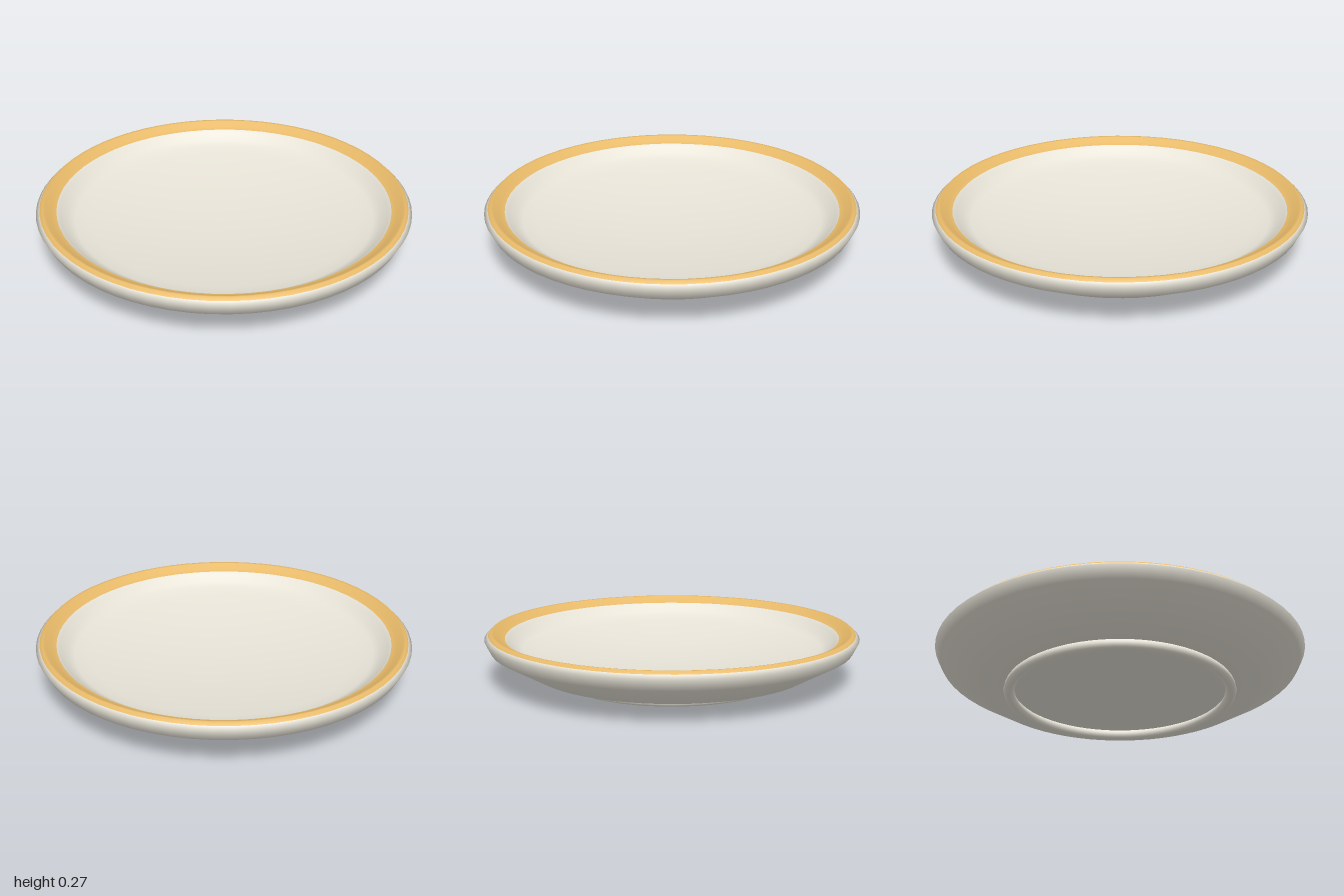
import * as THREE from 'three';

const SEGMENTS = 64;

export function createModel() {
  const plate = new THREE.Group();
  plate.name = 'plate';
  const glaze = new THREE.MeshStandardMaterial({ name: 'ivory glaze', color: 0xe8e4d8 });
  const gold = new THREE.MeshStandardMaterial({ name: 'gold trim', color: 0xeebf6c });

  const add = (name, geometry, material) => {
    const mesh = new THREE.Mesh(geometry, material);
    mesh.name = name;
    plate.add(mesh);
    return mesh;
  };
  const lathe = (points) =>
    new THREE.LatheGeometry(points.map(([r, y]) => new THREE.Vector2(r, y)), SEGMENTS);

  // Outer wall: flat underside, flared side and rolled lip
  add('outerWall', lathe([
    [0, 0.055], [0.6, 0.055], [0.76, 0.06], [0.97, 0.18], [1, 0.24], [0.98, 0.26],
  ]), glaze);

  // Gold bead round the lip
  add('goldRim', lathe([
    [0.98, 0.26], [0.965, 0.274], [0.95, 0.272], [0.92, 0.247], [0.893, 0.24],
  ]), gold);

  // Shallow bowl: steep edge, then a parabola down to the centre
  const bowl = [[0.893, 0.24], [0.875, 0.228], [0.84, 0.195]];
  for (let i = 10; i >= 0; i--) {
    const t = i / 10;
    bowl.push([0.8 * t, 0.1 + 0.075 * t * t]);
  }
  add('bowl', lathe(bowl), glaze);

  // Rounded foot ring
  const foot = add('footRing', new THREE.TorusGeometry(0.595, 0.029, 16, SEGMENTS), glaze);
  foot.rotation.x = Math.PI / 2;
  foot.position.y = 0.029;

  return plate;
}
